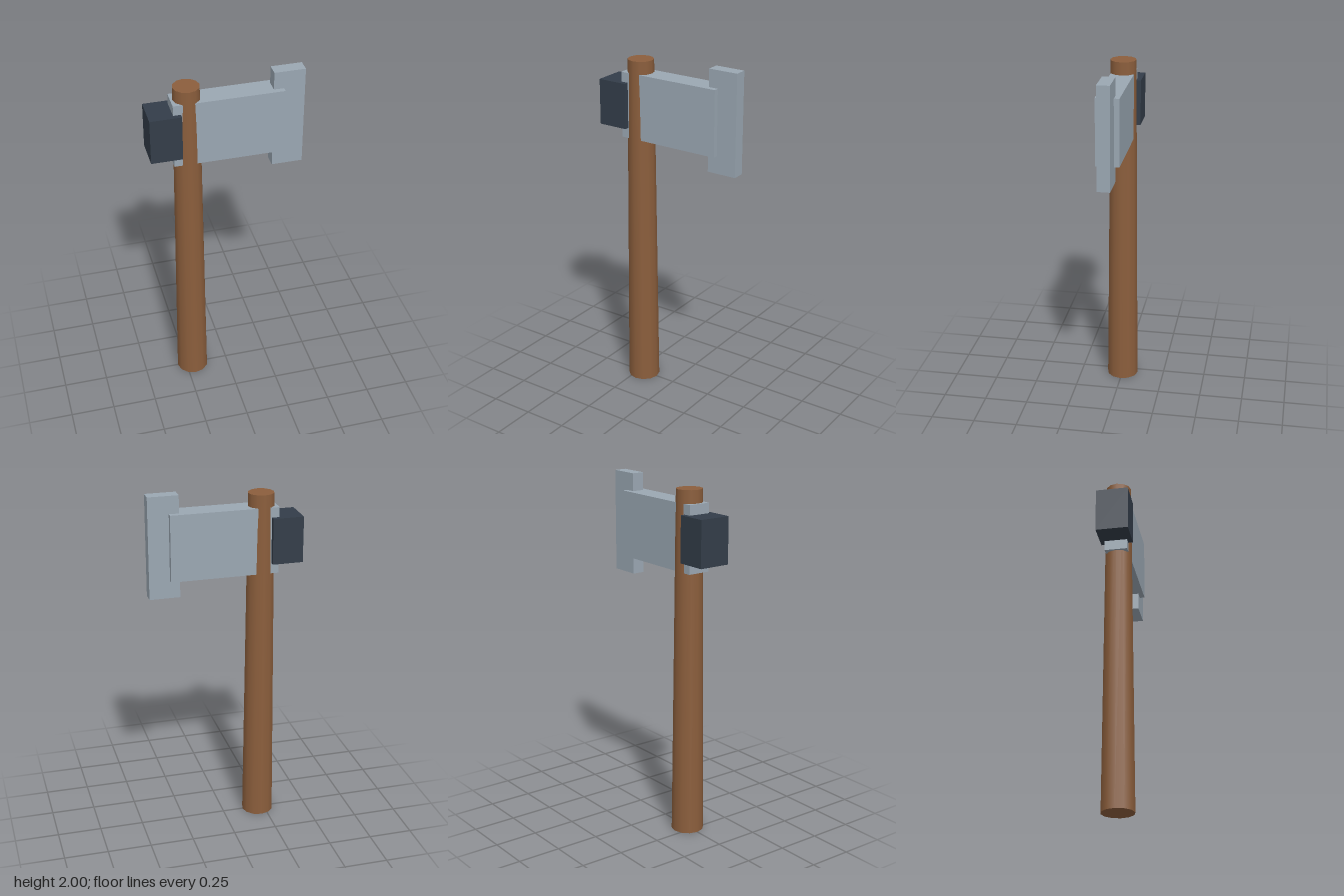
import * as THREE from 'three';

const material = (color) => new THREE.MeshStandardMaterial({ color });

export function createModel() {
  const model = new THREE.Group();
  model.name = 'axe';
  const wood = material(0x8b5e3c);
  const steel = material(0x9aa7b2);
  const darkSteel = material(0x333d49);

  const add = (name, geometry, mat, x, y) => {
    const mesh = new THREE.Mesh(geometry, mat);
    mesh.name = name;
    mesh.position.set(x, y, 0);
    model.add(mesh);
  };

  // Box given by its x range, y range and thickness
  const addBlock = (name, mat, x0, x1, y0, y1, depth) =>
    add(name, new THREE.BoxGeometry(x1 - x0, y1 - y0, depth), mat, (x0 + x1) / 2, (y0 + y1) / 2);

  // Tapered twelve-sided handle
  const height = 1.973;
  add('handle', new THREE.CylinderGeometry(0.073, 0.092, height, 12), wood, -0.211, height / 2);

  // Head, thin cutting blade and heavy block at the back
  addBlock('head', steel, -0.297, 0.31, 1.525, 1.9, 0.13);
  addBlock('blade', steel, 0.254, 0.426, 1.425, 2, 0.071);
  addBlock('poll', darkSteel, -0.428, -0.255, 1.584, 1.844, 0.184);

  return model;
}
